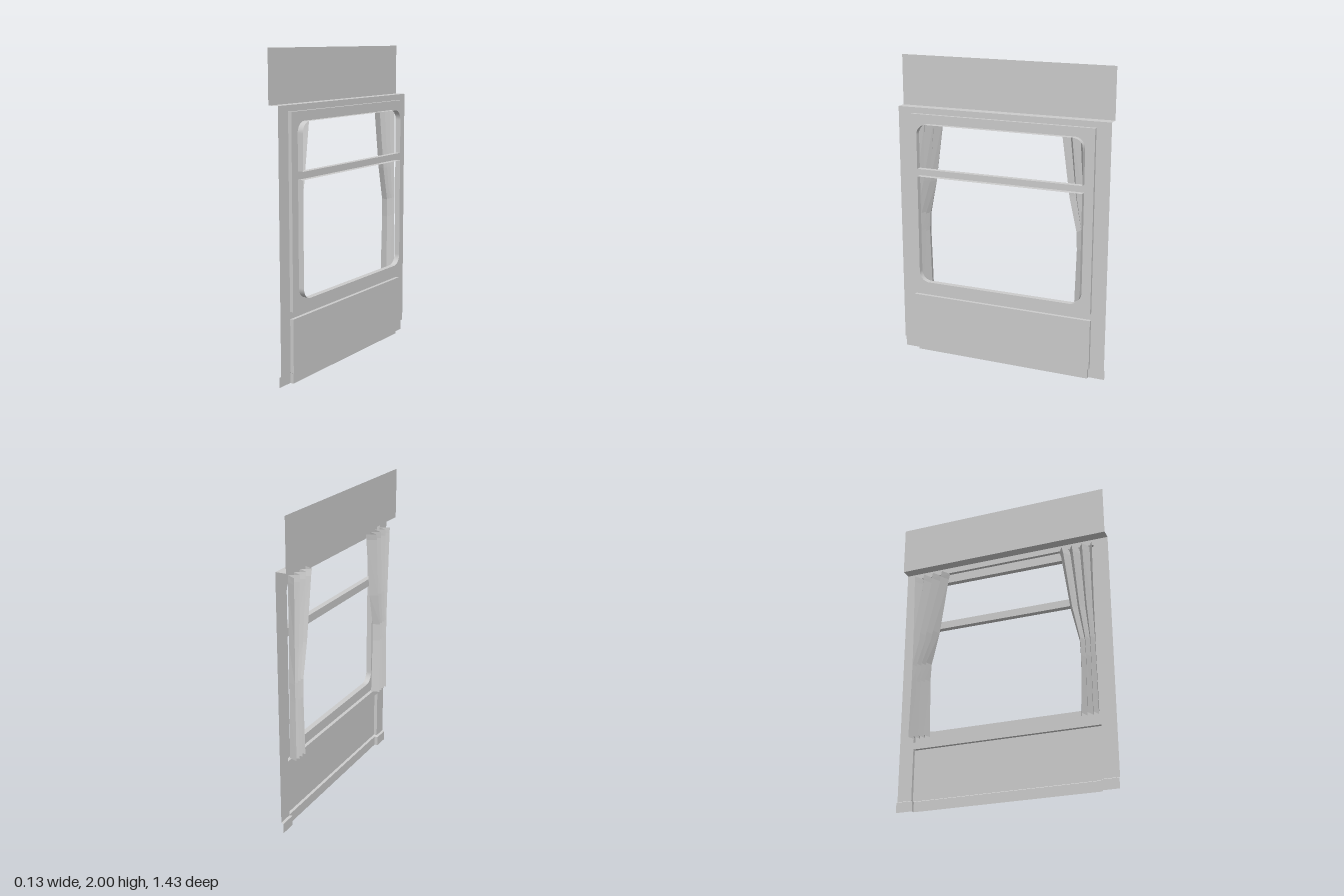
import * as THREE from 'three';

const material = new THREE.MeshStandardMaterial({ color: 0xcccccc, side: THREE.DoubleSide, flatShading: true });

// Depths (x) of the sheets and half widths (z) of wall, panels and window
const UPPER = -0.065, WALL = 0.003, PANEL = 0.026, LIP = 0.063;
const HALF = 0.713, PANEL_HALF = 0.618, WINDOW_HALF = 0.558;
const BASE_Y = 0.072, TOP_Y = 1.675;

function addMesh(parent, name, geometry) {
  const mesh = new THREE.Mesh(geometry, material);
  mesh.name = name;
  parent.add(mesh);
  return mesh;
}

// Surface stretched through rows of [x, y, z] points of equal length
function loft(rows) {
  const pos = [];
  for (let i = 0; i < rows.length - 1; i++) {
    for (let j = 0; j < rows[i].length - 1; j++) {
      const a = rows[i][j], b = rows[i][j + 1], c = rows[i + 1][j + 1], d = rows[i + 1][j];
      pos.push(...a, ...b, ...c, ...a, ...c, ...d);
    }
  }
  const geometry = new THREE.BufferGeometry();
  geometry.setAttribute('position', new THREE.Float32BufferAttribute(pos, 3));
  geometry.computeVertexNormals();
  return geometry;
}

// Flat sheet facing +x from a shape drawn in (-z, y)
function sheet(shape, x) {
  return new THREE.ShapeGeometry(shape, 8).rotateY(Math.PI / 2).translate(x, 0, 0);
}

// Band running along an outline from depth x0 to depth x1
function band(points, x0, x1) {
  return loft([x0, x1].map(x => points.map(p => [x, p.y, -p.x])));
}

function outline(pairs, Type = THREE.Shape) {
  return new Type(pairs.map(([a, b]) => new THREE.Vector2(a, b)));
}

const rect = (w, y0, y1) => [[-w, y0], [w, y0], [w, y1], [-w, y1], [-w, y0]];

// Window pane opening, rounded at the top (dir 1) or the bottom (dir -1)
function paneOpening(yFlat, yRound, dir) {
  const w = WINDOW_HALF, r = 0.068, p = new THREE.Path();
  p.moveTo(-w, yFlat);
  p.lineTo(w, yFlat);
  p.lineTo(w, yRound - dir * r);
  p.absarc(w - r, yRound - dir * r, r, 0, dir * Math.PI / 2, dir < 0);
  p.lineTo(-w + r, yRound);
  p.absarc(-w + r, yRound - dir * r, r, dir * Math.PI / 2, dir * Math.PI, dir < 0);
  p.lineTo(-w, yFlat);
  return p;
}

// Pleated curtain, gathered at mid height, on side s of the window
function curtain(s) {
  const folds = 7;
  // height, inner edge, outer edge, back of pleats, front of pleats
  const levels = [
    [1.625, 0.39, 0.625, -0.065, -0.004],
    [1.585, 0.4, 0.625, -0.064, -0.004],
    [1.19, 0.455, 0.62, -0.058, -0.005],
    [0.97, 0.505, 0.62, -0.055, -0.006],
    [0.85, 0.51, 0.62, -0.056, -0.006],
    [0.47, 0.5, 0.625, -0.06, -0.005],
  ];
  return loft(levels.map(([y, inner, outer, back, front]) =>
    Array.from({ length: folds + 1 }, (_, i) =>
      [i % 2 ? back : front, y, s * (inner + (outer - inner) * i / folds)])));
}

export function createModel() {
  const model = new THREE.Group();
  model.name = 'windowWall';

  // Set-back upper wall and the ledge below it
  const upper = [[UPPER, 2], [UPPER, TOP_Y], [WALL, TOP_Y]];
  addMesh(model, 'upperWall', loft(upper.map(([x, y]) => [[x, y, HALF], [x, y, -HALF]])));

  // Main wall, notched for the lower panel and open for the window panel
  const p = PANEL_HALF, windowRect = rect(p, 0.45, 1.637);
  const wall = outline([[-HALF, BASE_Y], [-p, BASE_Y], [-p, 0.405], [p, 0.405],
    [p, BASE_Y], [HALF, BASE_Y], [HALF, TOP_Y], [-HALF, TOP_Y]]);
  wall.holes.push(outline(windowRect, THREE.Path));
  addMesh(model, 'mainWall', sheet(wall, WALL));

  // Raised window panel with two openings and a crossbar between them
  const windowGroup = new THREE.Group();
  windowGroup.name = 'window';
  model.add(windowGroup);
  const openings = [paneOpening(1.287, 1.578, 1), paneOpening(1.237, 0.517, -1)];
  const panel = outline(windowRect);
  panel.holes.push(...openings);
  addMesh(windowGroup, 'windowPanel', sheet(panel, PANEL));
  addMesh(windowGroup, 'windowPanelEdge', band(outline(windowRect).getPoints(), WALL, PANEL));
  openings.forEach((o, i) =>
    addMesh(windowGroup, i ? 'lowerWindowLip' : 'upperWindowLip', band(o.getPoints(8), PANEL, LIP)));

  // Raised lower panel
  addMesh(model, 'lowerPanel', sheet(outline(rect(p, BASE_Y, 0.405)), PANEL));
  const rim = outline([[-p, BASE_Y], [-p, 0.405], [p, 0.405], [p, BASE_Y]]).getPoints();
  addMesh(model, 'lowerPanelEdge', band(rim, WALL, PANEL));

  // Recessed skirting that follows the wall and panel
  const skirting = (y, inset) => [[WALL, HALF], [WALL, p - inset], [PANEL, p - inset],
    [PANEL, inset - p], [WALL, inset - p], [WALL, -HALF]].map(([x, z]) => [x - inset, y, z]);
  addMesh(model, 'skirting', loft([skirting(BASE_Y, 0), skirting(0.065, 0.014), skirting(0, 0.014)]));

  // Curtains behind the window
  addMesh(model, 'leftCurtain', curtain(-1));
  addMesh(model, 'rightCurtain', curtain(1));

  return model;
}
